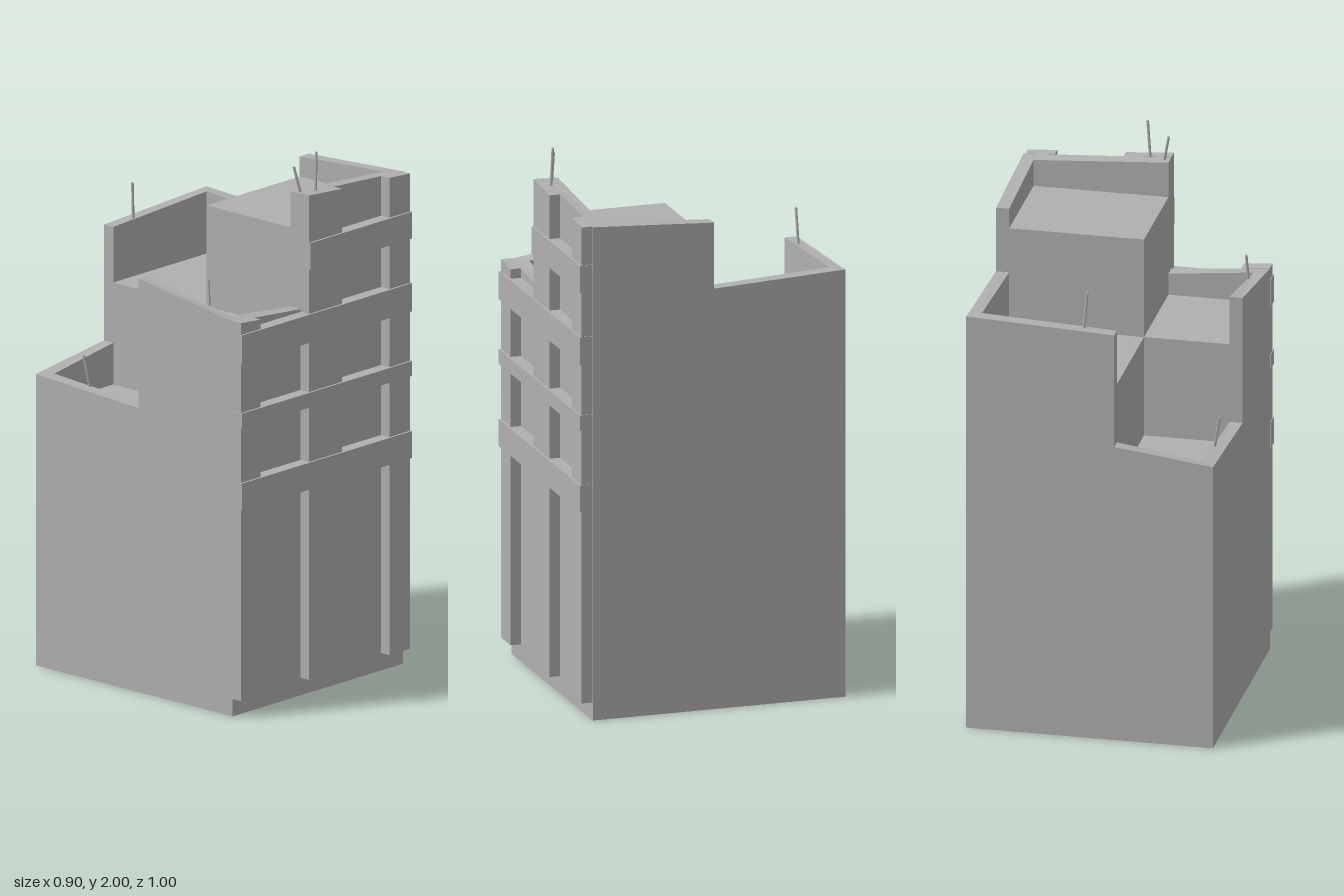
import * as THREE from 'three';

const concrete = new THREE.MeshStandardMaterial({ color: 0xb0b0b0, side: THREE.DoubleSide });
concrete.name = 'concrete grey';

const CX = -0.09, CZ = -0.005; // where the four roof terraces meet

function mesh(name, geometry) {
  const m = new THREE.Mesh(geometry, concrete);
  m.name = name;
  return m;
}

// Flat-shaded geometry from four-cornered faces
function quadGeometry(quads, flip) {
  const pos = [];
  for (const q of quads) {
    const [a, b, c, d] = flip ? [...q].reverse() : q;
    pos.push(...a, ...b, ...c, ...a, ...c, ...d);
  }
  const g = new THREE.BufferGeometry();
  g.setAttribute('position', new THREE.Float32BufferAttribute(pos, 3));
  g.computeVertexNormals();
  return g;
}

// One quarter of the tower: outer walls, sloping parapet, terrace floor and
// the step down to lower neighbours (lowX across x, lowZ across z).
// hX, hC, hZ: parapet heights at the x end, the corner and the z end.
function quarter({ name, X, Z, xi, zi, hX, hC, hZ, floor: f, lowX, lowZ }) {
  const quads = [
    // outer walls
    [[CX, 0, Z], [X, 0, Z], [X, hC, Z], [CX, hX, Z]],
    [[X, 0, Z], [X, 0, CZ], [X, hZ, CZ], [X, hC, Z]],
    // parapet tops
    [[CX, hX, Z], [X, hC, Z], [xi, hC, zi], [CX, hX, zi]],
    [[X, hC, Z], [X, hZ, CZ], [xi, hZ, CZ], [xi, hC, zi]],
    // parapet inner faces
    [[xi, f, zi], [CX, f, zi], [CX, hX, zi], [xi, hC, zi]],
    [[xi, f, CZ], [xi, f, zi], [xi, hC, zi], [xi, hZ, CZ]],
    // terrace floor
    [[CX, f, zi], [xi, f, zi], [xi, f, CZ], [CX, f, CZ]],
  ];
  if (lowX !== undefined) quads.push(
    [[CX, lowX, zi], [CX, lowX, Z], [CX, hX, Z], [CX, hX, zi]],
    [[CX, lowX, CZ], [CX, lowX, zi], [CX, f, zi], [CX, f, CZ]]);
  if (lowZ !== undefined) quads.push(
    [[X, lowZ, CZ], [xi, lowZ, CZ], [xi, hZ, CZ], [X, hZ, CZ]],
    [[xi, lowZ, CZ], [CX, lowZ, CZ], [CX, f, CZ], [xi, f, CZ]]);
  return mesh(name, quadGeometry(quads, X * Z < 0));
}

// Box on the front wall; its top may slope from yl (at x0) to yr (at x1)
function frontBox(name, x0, x1, y0, yl, yr, depth) {
  const g = new THREE.BoxGeometry(x1 - x0, 1, depth);
  g.translate((x0 + x1) / 2, 0, 0.45 + depth / 2);
  const p = g.attributes.position;
  const mid = (x0 + x1) / 2;
  for (let i = 0; i < p.count; i++) {
    p.setY(i, p.getY(i) < 0 ? y0 : p.getX(i) < mid ? yl : yr);
  }
  g.computeVertexNormals();
  return mesh(name, g);
}

// Thin leaning rod between two points
function antenna(base, tip) {
  const a = new THREE.Vector3(...base), b = new THREE.Vector3(...tip);
  const dir = b.clone().sub(a);
  const m = mesh('antenna', new THREE.CylinderGeometry(0.005, 0.005, dir.length(), 6));
  m.position.copy(a).add(b).multiplyScalar(0.5);
  m.quaternion.setFromUnitVectors(new THREE.Vector3(0, 1, 0), dir.normalize());
  return m;
}

export function createModel() {
  const model = new THREE.Group();
  model.name = 'tower';

  // Stepped body, open underneath
  const body = new THREE.Group();
  body.name = 'body';
  const front = { Z: 0.45, zi: 0.40 }, back = { Z: -0.5, zi: -0.455 };
  const left = { X: 0.45, xi: 0.402 }, right = { X: -0.45, xi: -0.402 };
  body.add(
    quarter({ name: 'tallQuarter', ...left, ...front, hX: 1.863, hC: 1.83, hZ: 1.805, floor: 1.73, lowX: 1.354, lowZ: 1.354 }),
    quarter({ name: 'backQuarter', ...left, ...back, hX: 1.56, hC: 1.585, hZ: 1.56, floor: 1.354, lowX: 0.975 }),
    quarter({ name: 'lowQuarter', ...right, ...back, hX: 1.13, hC: 1.083, hZ: 1.055, floor: 0.975 }),
    quarter({ name: 'sideQuarter', ...right, ...front, hX: 1.435, hC: 1.467, hZ: 1.537, floor: 1.354, lowZ: 0.975 }),
  );
  model.add(body);

  // Vertical pilasters on the front
  const facade = new THREE.Group();
  facade.name = 'facade';
  const pilasters = [
    [-0.45, -0.345, 1.469, 1.46],
    [-0.09, 0.085, 1.865, 1.852],
    [0.335, 0.443, 1.838, 1.831],
  ];
  for (const [x0, x1, yl, yr] of pilasters) facade.add(frontBox('pilaster', x0, x1, 0.065, yl, yr, 0.04));

  // Horizontal bands
  const bands = [
    [-0.453, 0.775, 0.875],
    [-0.453, 1.08, 1.135],
    [-0.453, 1.32, 1.425],
    [-0.09, 1.59, 1.69],
  ];
  for (const [x0, y0, y1] of bands) facade.add(frontBox('band', x0, 0.446, y0, y1, y1, 0.048));
  model.add(facade);

  // Antennas standing on the parapets
  const rods = [
    [[0.028, 1.56, -0.467], [0.017, 1.70, -0.461]],
    [[-0.406, 1.06, -0.277], [-0.428, 1.19, -0.289]],
    [[-0.405, 1.47, 0.298], [-0.399, 1.58, 0.286]],
    [[-0.067, 1.85, 0.43], [-0.088, 1.957, 0.415]],
    [[-0.013, 1.85, 0.451], [-0.004, 2.0, 0.447]],
  ];
  for (const [base, tip] of rods) model.add(antenna(base, tip));

  return model;
}
